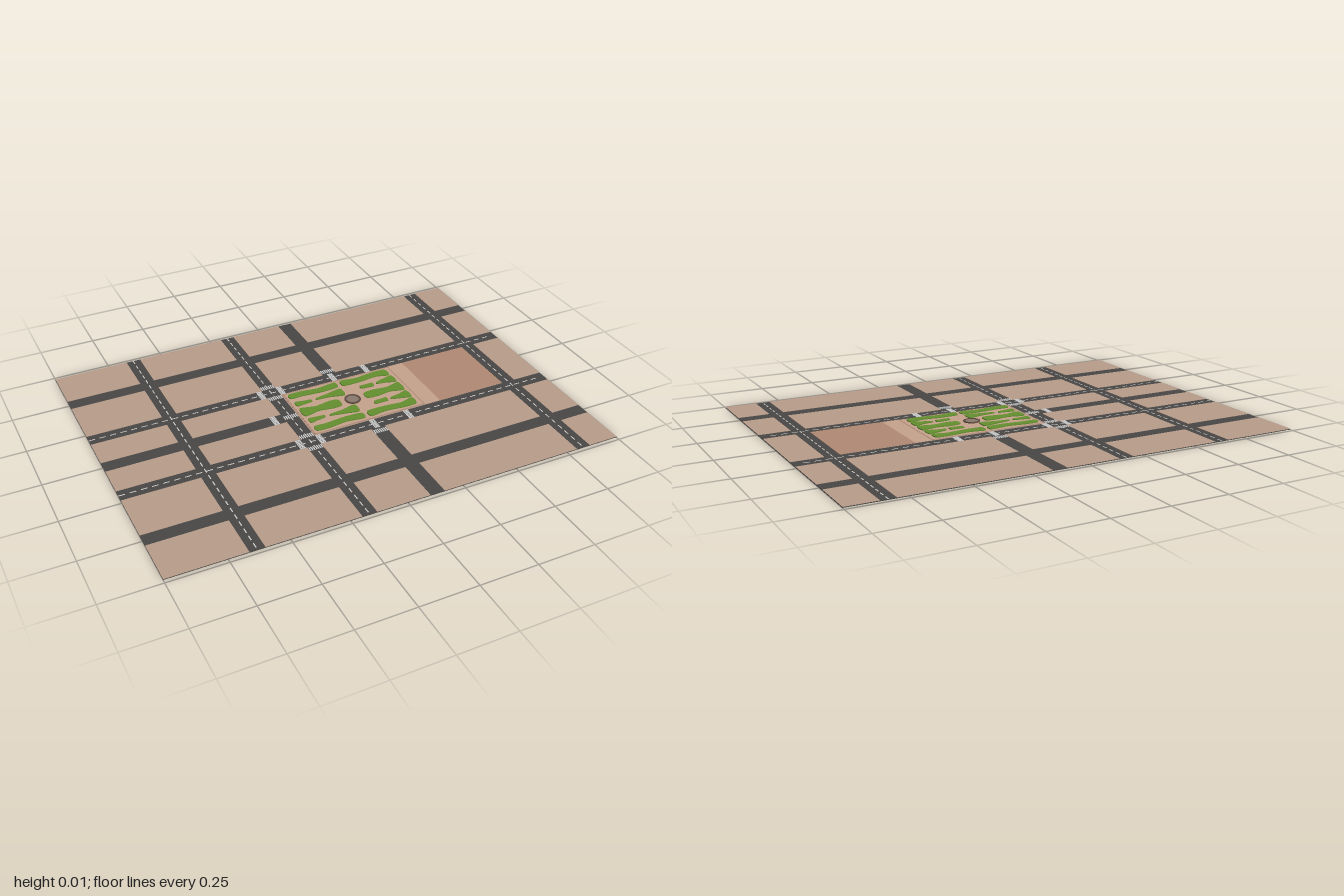
import * as THREE from 'three';

const material = (color) => new THREE.MeshStandardMaterial({ color });
const asphalt = material(0x484746);
const tan = material(0xb79c8a);
const paint = material(0xc4c4c0);
const border = material(0xb18c78);
const paving = material(0xc6a28c);
const court = material(0xb08a74);
const grass = material(0x64902f);
const stone = material(0x5f4a40);
const basin = material(0x8a7a6e);

const BASE = 0.003, KERB = 0.0045, HALF_Z = 0.733, HALF_ROAD = 0.032;

export function createModel() {
  const model = new THREE.Group();

  // Flat slab given by its x and z limits and its bottom and top heights
  function slab(name, x0, x1, z0, z1, y0, y1, mat, parent = model) {
    const mesh = new THREE.Mesh(new THREE.BoxGeometry(x1 - x0, y1 - y0, z1 - z0), mat);
    mesh.position.set((x0 + x1) / 2, (y0 + y1) / 2, (z0 + z1) / 2);
    mesh.name = name;
    parent.add(mesh);
    return mesh;
  }
  function group(name) {
    const g = new THREE.Group();
    g.name = name;
    model.add(g);
    return g;
  }

  // Asphalt plate; the gaps between the blocks read as roads
  slab('asphalt', -1, 1, -HALF_Z, HALF_Z, 0, BASE, asphalt);

  // City blocks
  const blocks = group('cityBlocks');
  const block = (x0, x1, z0, z1) => slab('block', x0, x1, z0, z1, BASE, KERB, tan, blocks);
  const columns = [[-1, -0.667], [-0.603, -0.2], [-0.136, 0.1], [0.164, 0.798], [0.862, 1]];
  for (const [x0, x1] of columns) {
    for (const s of [-1, 1]) {
      for (const [a, b] of [[0.532, HALF_Z], [0.237, 0.468]]) {
        block(x0, x1, Math.min(s * a, s * b), Math.max(s * a, s * b));
      }
    }
  }
  for (const [x0, x1] of columns.slice(0, 2)) {
    block(x0, x1, -0.173, -HALF_ROAD);
    block(x0, x1, HALF_ROAD, 0.173);
  }
  block(0.862, 1, -0.173, 0.173);
  block(-0.136, 0.798, -0.173, 0.173);

  // Dashed centre lines
  const dashes = group('laneDashes');
  const PITCH = 0.046, DASH = 0.027, W = 0.0025;
  for (const x of [-0.635, -0.168, 0.83]) {
    for (let z = -HALF_Z; z + DASH < HALF_Z; z += PITCH) {
      slab('dash', x - W, x + W, z, z + DASH, BASE, BASE + 0.0006, paint, dashes);
    }
  }
  for (const z of [-0.205, 0.205]) {
    for (let x = -1; x + DASH < 1; x += PITCH) {
      slab('dash', x, x + DASH, z - W, z + W, BASE, BASE + 0.0006, paint, dashes);
    }
  }

  // Zebra crossings: stripes spread across the road and run along it
  const crossings = group('zebraCrossings');
  function crossing(x, z, roadAlongX) {
    const n = 7, step = 0.064 / n, half = 0.0125;
    for (let i = 0; i < n; i++) {
      const o = (i - (n - 1) / 2) * step, w = step * 0.3;
      const dx = roadAlongX ? half : w, dz = roadAlongX ? w : half;
      const cx = x + (roadAlongX ? 0 : o), cz = z + (roadAlongX ? o : 0);
      slab('stripe', cx - dx, cx + dx, cz - dz, cz + dz, BASE, KERB + 0.0006, paint, crossings);
    }
  }
  for (const s of [-1, 1]) {
    for (const x of [-0.217, -0.123, 0.132, 0.298]) crossing(x, s * 0.205, true);
    for (const z of [0.16, 0.252]) crossing(-0.168, s * z, false);
    crossing(0.132, s * 0.26, false);
  }
  crossing(-0.168, 0, false);
  crossing(-0.243, 0, true);

  // Park paving with a border, forecourt and square
  slab('parkBorder', -0.132, 0.402, -0.17, 0.17, KERB, 0.0052, border);
  slab('parkPaving', -0.125, 0.395, -0.163, 0.163, KERB, 0.0058, paving);
  slab('forecourt', 0.402, 0.475, -0.173, 0.173, KERB, 0.0052, paving);
  slab('square', 0.475, 0.798, -0.173, 0.173, KERB, 0.0052, court);

  // Grass beds: each outline passes through sections [x, back z, front z]
  const beds = group('grassBeds');
  function bed(sections, mirrorZ) {
    const s = mirrorZ ? -1 : 1;
    const points = [
      ...sections.map(([x, a]) => new THREE.Vector3(x, -s * a, 0)),
      ...sections.slice().reverse().map(([x, , b]) => new THREE.Vector3(x, -s * b, 0)),
    ];
    const curve = new THREE.CatmullRomCurve3(points, true, 'catmullrom', 0.35);
    const shape = new THREE.Shape(curve.getPoints(48).map((p) => new THREE.Vector2(p.x, p.y)));
    const geometry = new THREE.ExtrudeGeometry(shape, { depth: 0.005, bevelEnabled: false });
    geometry.rotateX(-Math.PI / 2);
    const mesh = new THREE.Mesh(geometry, grass);
    mesh.position.y = 0.005;
    mesh.name = 'grassBed';
    beds.add(mesh);
  }
  const sideBeds = [
    [[-0.111, -0.15, -0.118], [-0.05, -0.153, -0.118], [0.03, -0.143, -0.11], [0.115, -0.152, -0.115]],
    [[0.145, -0.153, -0.113], [0.22, -0.145, -0.11], [0.31, -0.154, -0.118], [0.37, -0.15, -0.104]],
    [[-0.11, -0.086, -0.054], [-0.075, -0.08, -0.056], [-0.037, -0.074, -0.06]],
    [[-0.01, -0.074, -0.064], [0.05, -0.085, -0.058], [0.117, -0.096, -0.044]],
    [[0.207, -0.078, -0.058], [0.24, -0.078, -0.054], [0.268, -0.078, -0.054]],
    [[0.288, -0.074, -0.062], [0.33, -0.086, -0.055], [0.375, -0.094, -0.043]],
  ];
  for (const sections of sideBeds) {
    bed(sections, false);
    bed(sections, true);
  }
  bed([[-0.111, -0.031, 0.031], [-0.04, -0.018, 0.018], [0.03, -0.028, 0.028], [0.07, -0.022, 0.022]], false);
  bed([[0.195, -0.018, 0.018], [0.24, -0.026, 0.026], [0.31, -0.018, 0.018], [0.375, -0.031, 0.031]], false);

  // Round fountain
  const fountain = group('fountain');
  fountain.position.set(0.132, 0, 0);
  const rim = new THREE.Shape().absarc(0, 0, 0.036, 0, Math.PI * 2, false);
  rim.holes.push(new THREE.Path().absarc(0, 0, 0.028, 0, Math.PI * 2, true));
  const rimGeometry = new THREE.ExtrudeGeometry(rim, { depth: 0.005, bevelEnabled: false, curveSegments: 32 });
  rimGeometry.rotateX(-Math.PI / 2);
  const rimMesh = new THREE.Mesh(rimGeometry, stone);
  rimMesh.position.y = 0.005;
  rimMesh.name = 'fountainRim';
  const water = new THREE.Mesh(new THREE.CylinderGeometry(0.029, 0.029, 0.003, 32), basin);
  water.position.y = 0.0065;
  water.name = 'fountainBasin';
  fountain.add(rimMesh, water);

  return model;
}
